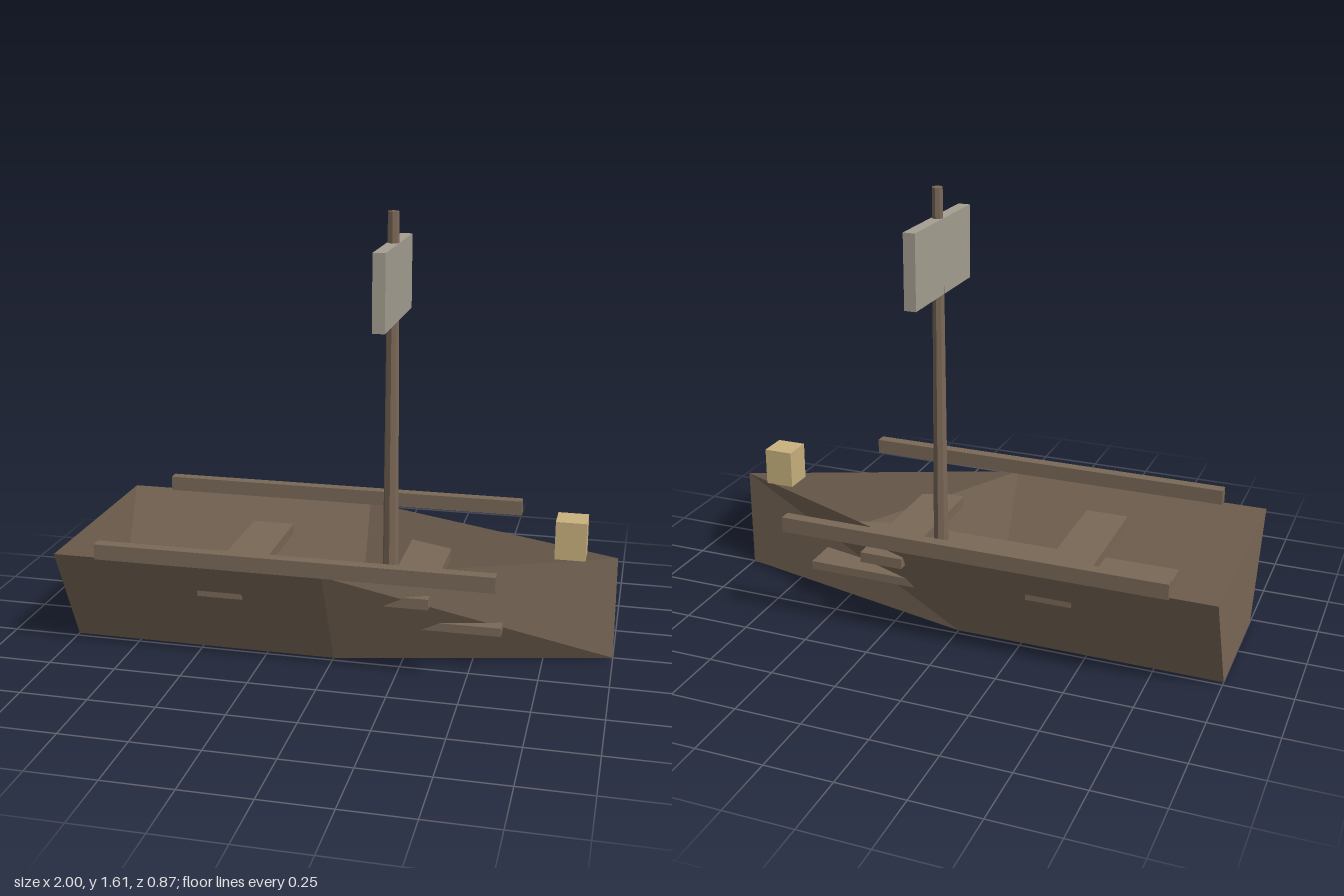
import * as THREE from 'three';

const mat = (name, color) => {
  const m = new THREE.MeshStandardMaterial({ color });
  m.name = name;
  return m;
};

// Open hull shell: sections [x, bottom half width, top half width] from stern to bow
function hullGeometry(height, sections) {
  const pos = [];
  const quad = (a, b, c, d) => pos.push(...a, ...b, ...c, ...a, ...c, ...d);
  const rings = sections.map(([x, bottom, top]) => [
    [x, height, top], [x, 0, bottom], [x, 0, -bottom], [x, height, -top],
  ]);
  for (let i = 0; i < rings.length - 1; i++) {
    for (let j = 0; j < 3; j++) {
      const a = rings[i], b = rings[i + 1];
      // the bow section is a vertical line, so the last bottom face is a triangle
      if (j === 1 && sections[i + 1][1] === 0) pos.push(...a[1], ...a[2], ...b[1]);
      else quad(a[j], a[j + 1], b[j + 1], b[j]);
    }
  }
  const s = rings[0];
  quad(s[0], s[3], s[2], s[1]); // transom
  const g = new THREE.BufferGeometry();
  g.setAttribute('position', new THREE.Float32BufferAttribute(pos, 3));
  g.computeVertexNormals();
  return g;
}

export function createModel() {
  const boat = new THREE.Group();
  boat.name = 'boat';
  const wood = mat('weathered wood', 0x7a6857);
  const cloth = mat('grey canvas', 0xa59f91);
  const brass = mat('lantern yellow', 0xc9b27e);
  wood.side = THREE.DoubleSide;

  const add = (name, geometry, material, x = 0, y = 0, z = 0) => {
    const mesh = new THREE.Mesh(geometry, material);
    mesh.name = name;
    mesh.position.set(x, y, z);
    boat.add(mesh);
    return mesh;
  };
  // Box given by its x and y ranges, its depth and its z centre
  const box = (name, material, [x0, x1], [y0, y1], depth, z = 0) =>
    add(name, new THREE.BoxGeometry(x1 - x0, y1 - y0, depth), material,
      (x0 + x1) / 2, (y0 + y1) / 2, z);

  // Hull and what lies inside it
  add('hull', hullGeometry(0.39, [[-1, 0.23, 0.415], [0, 0.23, 0.415], [1, 0, 0]]), wood);
  box('floorBoards', wood, [-0.72, 0.61], [0.14, 0.172], 0.444);
  box('rearSeat', wood, [-0.475, -0.308], [0.253, 0.293], 0.72);
  box('frontSeat', wood, [0.195, 0.36], [0.253, 0.293], 0.61);

  // Rails along both sides
  for (const side of [1, -1]) {
    box(side > 0 ? 'leftRail' : 'rightRail', wood, [-0.835, 0.61], [0.39, 0.447], 0.043, side * 0.411);
  }

  // Mast with its small square sail
  const mastBase = 0.16, mastTop = 1.613;
  const mast = new THREE.CylinderGeometry(0.0205, 0.0305, mastTop - mastBase, 8).toNonIndexed();
  mast.computeVertexNormals();
  add('mast', mast, wood, 0.165, (mastBase + mastTop) / 2, 0);
  box('sail', cloth, [0.1425, 0.1875], [1.225, 1.502], 0.5);

  // Lantern on the bow
  box('bowLantern', brass, [0.776, 0.887], [0.388, 0.53], 0.111);

  return boat;
}
